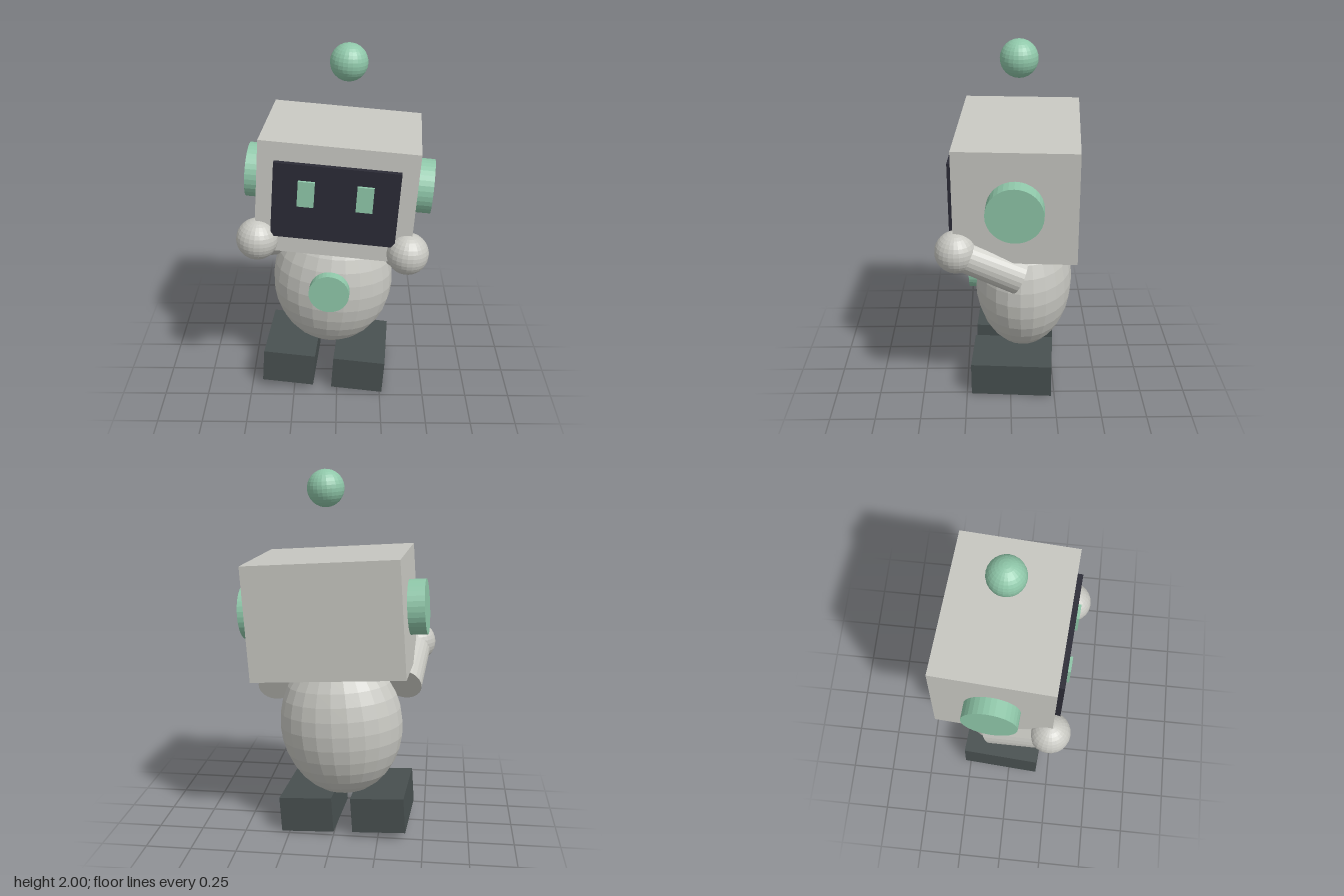
import * as THREE from 'three';

const material = (name, color) => {
  const m = new THREE.MeshStandardMaterial({ color, flatShading: true });
  m.name = name;
  return m;
};

export function createModel() {
  const shell = material('pale grey shell', 0xc8c8c2);
  const green = material('mint green', 0x8fc7a9);
  const dark = material('dark screen', 0x2b2b36);
  const slate = material('slate feet', 0x485050);

  const model = new THREE.Group();
  model.name = 'robot';

  // The whole figure leans and turns slightly
  const figure = new THREE.Group();
  figure.name = 'figure';
  figure.position.set(-0.07, 0, -0.056);
  figure.rotation.set(0, THREE.MathUtils.degToRad(-4), THREE.MathUtils.degToRad(-4));
  model.add(figure);

  const add = (name, geometry, mat, x, y, z) => {
    const mesh = new THREE.Mesh(geometry, mat);
    mesh.name = name;
    mesh.position.set(x, y, z);
    figure.add(mesh);
    return mesh;
  };
  const box = (w, h, d) => new THREE.BoxGeometry(w, h, d);
  const ball = (r) => new THREE.SphereGeometry(r, 24, 16);
  const disc = (r, t) => new THREE.CylinderGeometry(r, r, t, 32);

  // Egg-shaped body with a round chest badge
  add('body', ball(0.346).scale(1, 1.2, 0.8), shell, 0, 0.615, -0.025);
  add('chestDisc', disc(0.113, 0.08).rotateX(Math.PI / 2), green, 0, 0.667, 0.241);

  // Head, face screen and the ball floating above
  add('head', box(0.835, 0.622, 0.647), shell, 0, 1.248, 0);
  add('screen', box(0.658, 0.418, 0.06), dark, 0, 1.248, 0.323);
  add('antennaBall', ball(0.1), green, 0, 1.91, 0);

  // Paired parts, mirrored left and right
  for (const side of [1, -1]) {
    const label = side > 0 ? 'left' : 'right';
    add(label + 'Eye', box(0.087, 0.14, 0.03), green, side * 0.153, 1.301, 0.354);
    add(label + 'Ear', disc(0.15, 0.1).rotateZ(Math.PI / 2), green, side * 0.46, 1.256, 0);
    add(label + 'Foot', box(0.297, 0.2, 0.455), slate, side * 0.202, 0.125, 0.028);

    // Arm reaches forward from the shoulder to the hand
    const hand = new THREE.Vector3(side * 0.403, 0.991, 0.311);
    const shoulder = new THREE.Vector3(side * 0.362, 0.829, -0.02);
    const reach = hand.clone().sub(shoulder);
    const mid = hand.clone().add(shoulder).multiplyScalar(0.5);
    const arm = add(label + 'Arm', new THREE.CylinderGeometry(0.09, 0.1, reach.length(), 24),
      shell, mid.x, mid.y, mid.z);
    arm.quaternion.setFromUnitVectors(new THREE.Vector3(0, 1, 0), reach.normalize());
    add(label + 'Hand', ball(0.113), shell, hand.x, hand.y, hand.z);
  }

  return model;
}
